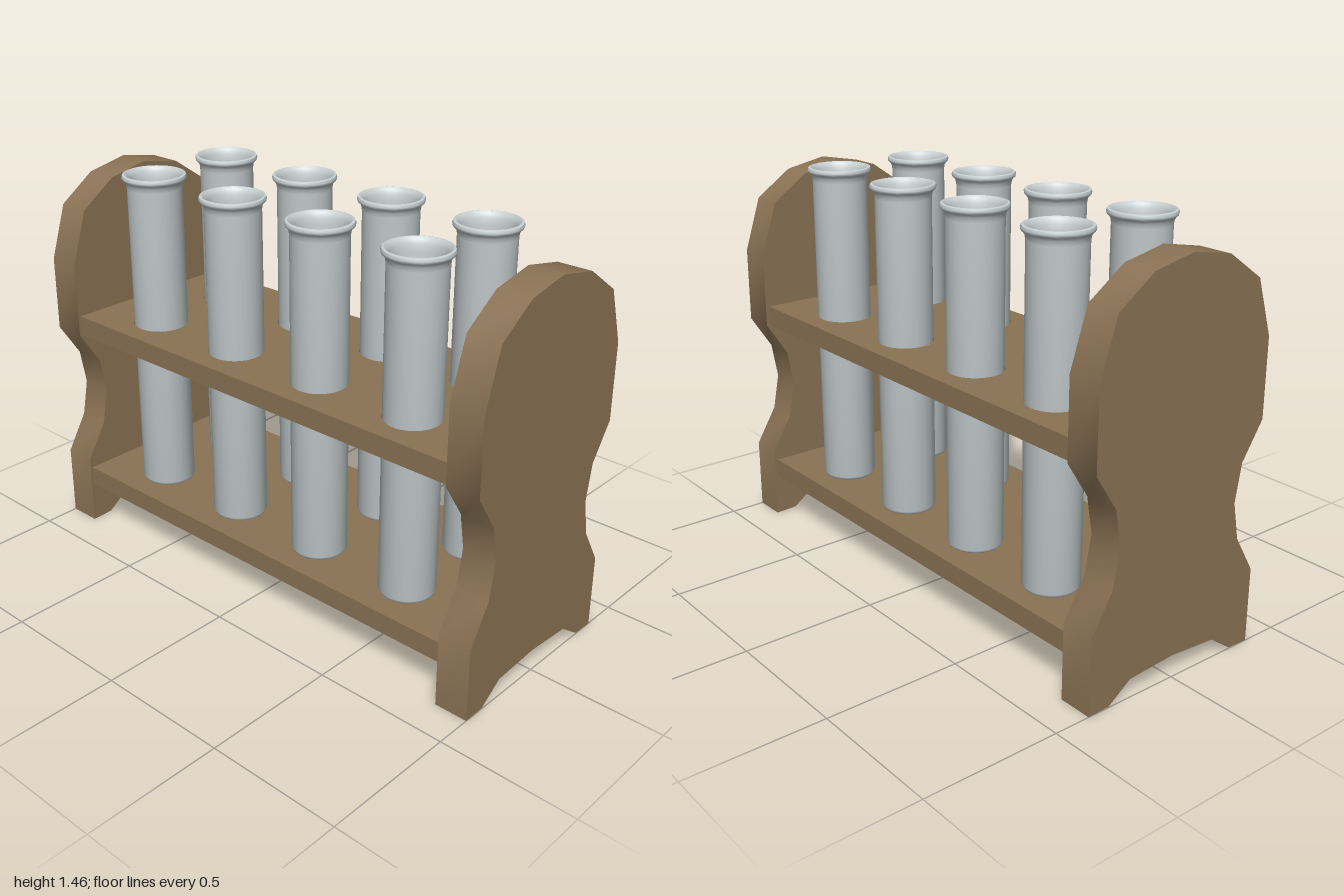
import * as THREE from 'three';
import { toCreasedNormals } from 'three/addons/utils/BufferGeometryUtils.js';

const wood = new THREE.MeshStandardMaterial({ color: 0x8b7355 });
wood.name = 'brown wood';
const glass = new THREE.MeshStandardMaterial({ color: 0xc8d0d2 });
glass.name = 'pale glass';

const TUBE_X = [-0.18, 0.18];
const TUBE_Z = [-0.61, -0.207, 0.195, 0.598];
const TUBE_R = 0.1;

function mesh(name, geometry, material, parent) {
  const m = new THREE.Mesh(geometry, material);
  m.name = name;
  parent.add(m);
  return m;
}

// Mirrored outline of an end panel, from the bottom arch up to the crown
function endPanelGeometry(depth) {
  const half = [
    [0.19, 0.067], [0.28, 0.003], [0.365, 0], [0.365, 0.273], [0.283, 0.41],
    [0.257, 0.545], [0.28, 0.68], [0.365, 0.81], [0.365, 1.09], [0.3, 1.29], [0.16, 1.387],
  ];
  const right = half.map(([x, y]) => new THREE.Vector2(x, y));
  const left = half.map(([x, y]) => new THREE.Vector2(-x, y)).reverse();
  const shape = new THREE.Shape([
    new THREE.Vector2(0, 0.08), ...right, new THREE.Vector2(0, 1.418), ...left,
  ]);
  const g = new THREE.ExtrudeGeometry(shape, { depth, bevelEnabled: false });
  return toCreasedNormals(g, 0.7);
}

// Shelf board with round holes for the tubes
function holedShelfGeometry(width, thickness, length) {
  const w = width / 2, l = length / 2;
  const shape = new THREE.Shape([
    new THREE.Vector2(-w, -l), new THREE.Vector2(w, -l),
    new THREE.Vector2(w, l), new THREE.Vector2(-w, l),
  ]);
  for (const x of TUBE_X) for (const z of TUBE_Z) {
    shape.holes.push(new THREE.Path().absarc(x, -z, TUBE_R, 0, Math.PI * 2, true));
  }
  const g = new THREE.ExtrudeGeometry(shape, { depth: thickness, bevelEnabled: false, curveSegments: 32 });
  return g.rotateX(-Math.PI / 2);
}

// Hollow tube: outer wall, flared lip, inner wall and rounded inner floor
function tubeGeometry() {
  const profile = [
    [0, 0.232], [0.088, 0.232], [0.096, 0.237], [0.1, 0.247], [0.1, 1.408],
    [0.103, 1.425], [0.109, 1.434], [0.115, 1.439], [0.117, 1.447], [0.114, 1.455],
    [0.106, 1.457], [0.097, 1.449], [0.091, 1.435], [0.088, 1.41],
    [0.088, 0.3], [0.078, 0.272], [0.05, 0.252], [0, 0.245],
  ].map(([r, y]) => new THREE.Vector2(r, y));
  return toCreasedNormals(new THREE.LatheGeometry(profile, 32), 0.9);
}

export function createModel() {
  const model = new THREE.Group();
  model.name = 'testTubeRack';

  // End panels
  const panel = endPanelGeometry(0.125);
  mesh('frontPanel', panel, wood, model).position.z = 0.875;
  mesh('backPanel', panel, wood, model).position.z = -1;

  // Shelves
  mesh('lowerShelf', new THREE.BoxGeometry(0.705, 0.075, 1.75), wood, model).position.set(-0.002, 0.197, 0);
  mesh('upperShelf', holedShelfGeometry(0.705, 0.075, 1.75), wood, model).position.set(-0.002, 0.81, 0);

  // Two rows of tubes
  const tubes = new THREE.Group();
  tubes.name = 'tubes';
  model.add(tubes);
  const tube = tubeGeometry();
  for (const x of TUBE_X) for (const z of TUBE_Z) {
    mesh('tube', tube, glass, tubes).position.set(x, 0, z);
  }
  return model;
}
